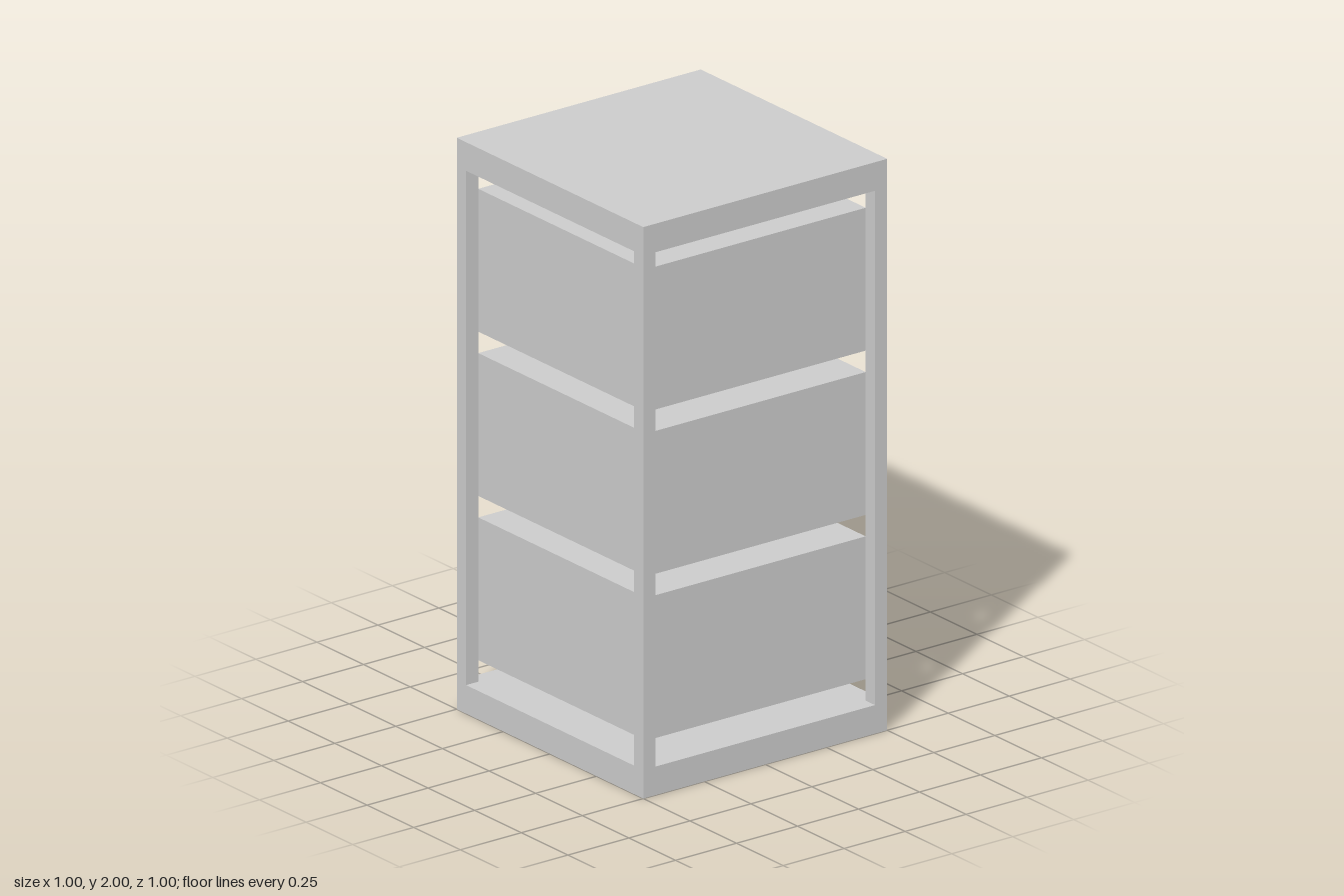
import * as THREE from 'three';

export function createModel() {
  const group = new THREE.Group();
  const material = new THREE.MeshStandardMaterial({ color: 0xcccccc, flatShading: true });

  const addBox = (name, [w, h, d], [x, y, z]) => {
    const mesh = new THREE.Mesh(new THREE.BoxGeometry(w, h, d), material);
    mesh.name = name;
    mesh.position.set(x, y, z);
    group.add(mesh);
  };

  // Bottom and top slabs
  const slab = 0.1, height = 2;
  addBox('basePlate', [1, slab, 1], [0, slab / 2, 0]);
  addBox('topPlate', [1, slab, 1], [0, height - slab / 2, 0]);

  // Square corner posts between the slabs
  const post = 0.05, inner = height - 2 * slab;
  for (const [sx, xName] of [[1, 'Left'], [-1, 'Right']]) {
    for (const [sz, zName] of [[1, 'front'], [-1, 'back']]) {
      const offset = 0.5 - post / 2;
      addBox(`${zName}${xName}Post`, [post, inner, post], [sx * offset, height / 2, sz * offset]);
    }
  }

  // Three evenly spaced drawers held between the posts
  const drawer = 0.5, gap = (inner - 3 * drawer) / 4;
  for (let i = 0; i < 3; i++) {
    const y = slab + gap + drawer / 2 + i * (drawer + gap);
    addBox(`drawer${i + 1}`, [0.9, drawer, 0.9], [0, y, 0]);
  }

  return group;
}
